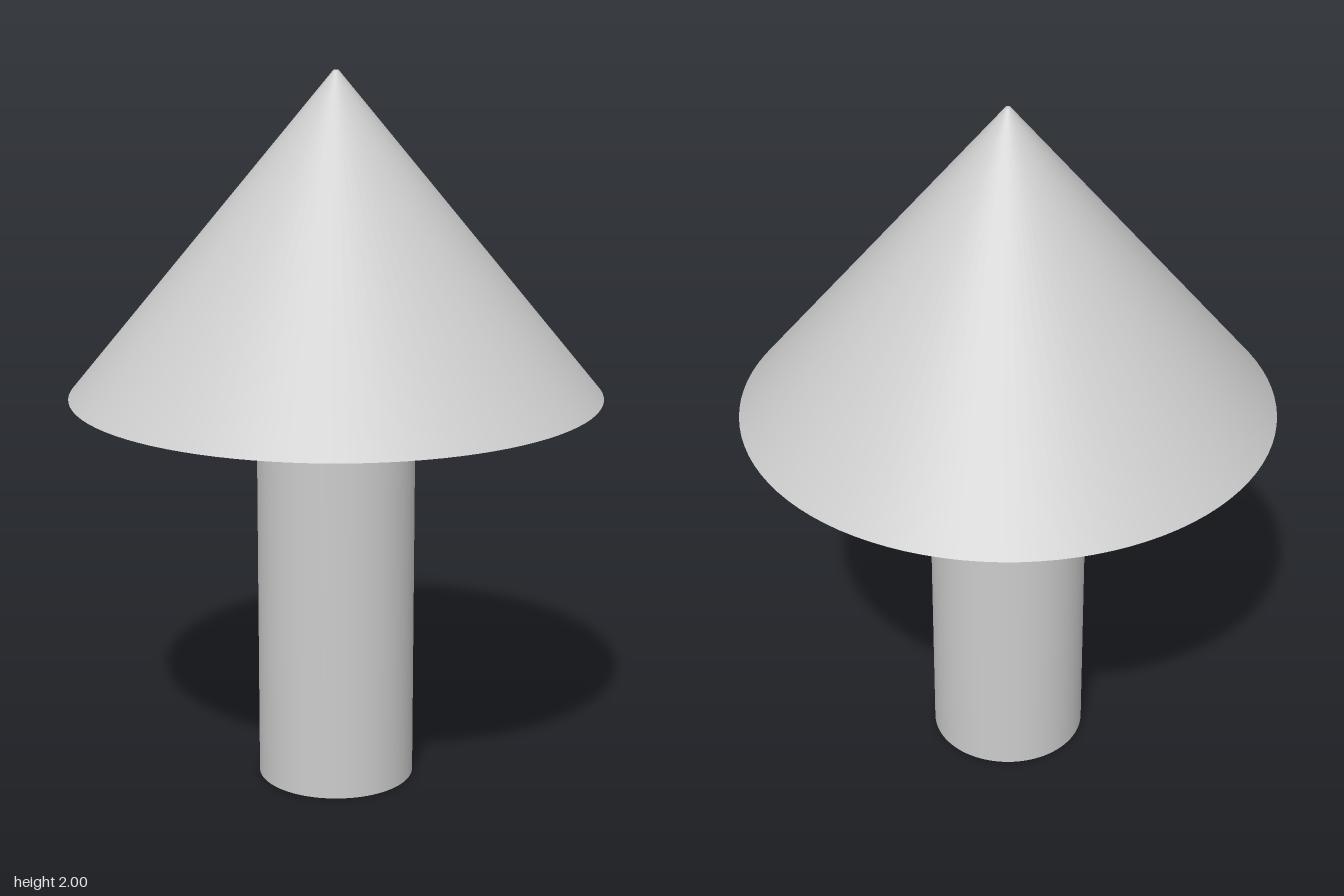
import * as THREE from 'three';

const SEGMENTS = 96;
const SHAFT_HEIGHT = 1.116;
const TOTAL_HEIGHT = 2;

export function createModel() {
  const group = new THREE.Group();
  group.name = 'upArrow';
  const material = new THREE.MeshStandardMaterial({ color: 0xcccccc });

  // Adds a capped round part standing between two heights
  const addRound = (name, topRadius, bottomRadius, y0, y1) => {
    const geometry = new THREE.CylinderGeometry(topRadius, bottomRadius, y1 - y0, SEGMENTS);
    const mesh = new THREE.Mesh(geometry, material);
    mesh.name = name;
    mesh.position.y = (y0 + y1) / 2;
    group.add(mesh);
  };

  // Straight round shaft
  addRound('shaft', 0.22, 0.22, 0, SHAFT_HEIGHT);
  // Conical head with a minutely blunted tip
  addRound('head', 0.007, 0.736, SHAFT_HEIGHT, TOTAL_HEIGHT);

  return group;
}
